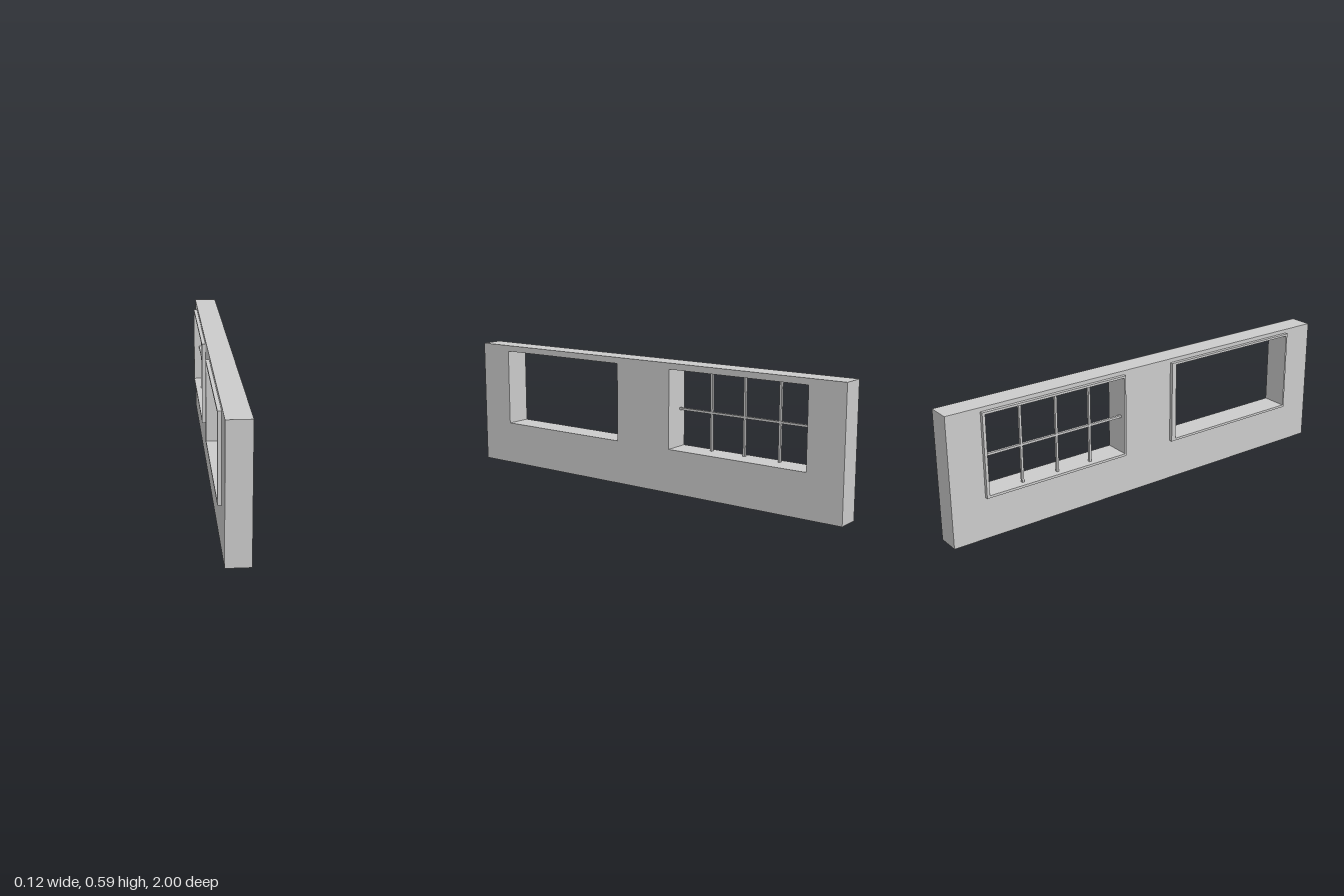
import * as THREE from 'three';

const material = new THREE.MeshStandardMaterial({ color: 0xcccccc, flatShading: true });

const FRONT_X = 0.06, WALL_BACK_X = -0.0445, FRAME_BACK_X = -0.0605;
const SILL = 0.2, HEAD = 0.56;

// Openings (z range) with the outer z range of their trim
const WINDOWS = [
  { name: 'openWindow', z: [0.15, 0.835], outer: [0.127, 0.843] },
  { name: 'barredWindow', z: [-0.83, -0.14], outer: [-0.843, -0.132], bars: [-0.31, -0.48, -0.655] },
];

function rectangle(path, [z0, z1], y0, y1) {
  path.moveTo(z0, y0);
  path.lineTo(z1, y0);
  path.lineTo(z1, y1);
  path.lineTo(z0, y1);
  path.closePath();
  return path;
}

// Extrudes a z-y outline from x = xFront back to x = xBack
function slab(name, shape, xFront, xBack) {
  const geometry = new THREE.ExtrudeGeometry(shape, { depth: xFront - xBack, bevelEnabled: false });
  geometry.rotateY(-Math.PI / 2).translate(xFront, 0, 0);
  const mesh = new THREE.Mesh(geometry, material);
  mesh.name = name;
  return mesh;
}

function bar(name, height, length, y, z) {
  const mesh = new THREE.Mesh(new THREE.BoxGeometry(0.012, height, length), material);
  mesh.position.set(-0.029, y, z);
  mesh.name = name;
  return mesh;
}

export function createModel() {
  const group = new THREE.Group();
  group.name = 'windowWall';

  // Thick wall pierced by both openings
  const wall = rectangle(new THREE.Shape(), [-1, 1], 0, 0.588);
  for (const w of WINDOWS) wall.holes.push(rectangle(new THREE.Path(), w.z, SILL, HEAD));
  group.add(slab('wall', wall, FRONT_X, WALL_BACK_X));

  for (const w of WINDOWS) {
    const windowGroup = new THREE.Group();
    windowGroup.name = w.name;

    // Raised trim around the opening
    const trim = rectangle(new THREE.Shape(), w.outer, 0.189, 0.57);
    trim.holes.push(rectangle(new THREE.Path(), w.z, SILL, HEAD));
    windowGroup.add(slab('trim', trim, WALL_BACK_X, FRAME_BACK_X));

    // Glazing bars: three uprights and one crossbar
    if (w.bars) {
      const middle = (SILL + HEAD) / 2;
      for (const z of w.bars) windowGroup.add(bar('uprightBar', HEAD - SILL, 0.01, middle, z));
      windowGroup.add(bar('crossBar', 0.01, w.z[1] - w.z[0], 0.372, (w.z[0] + w.z[1]) / 2));
    }
    group.add(windowGroup);
  }
  return group;
}
